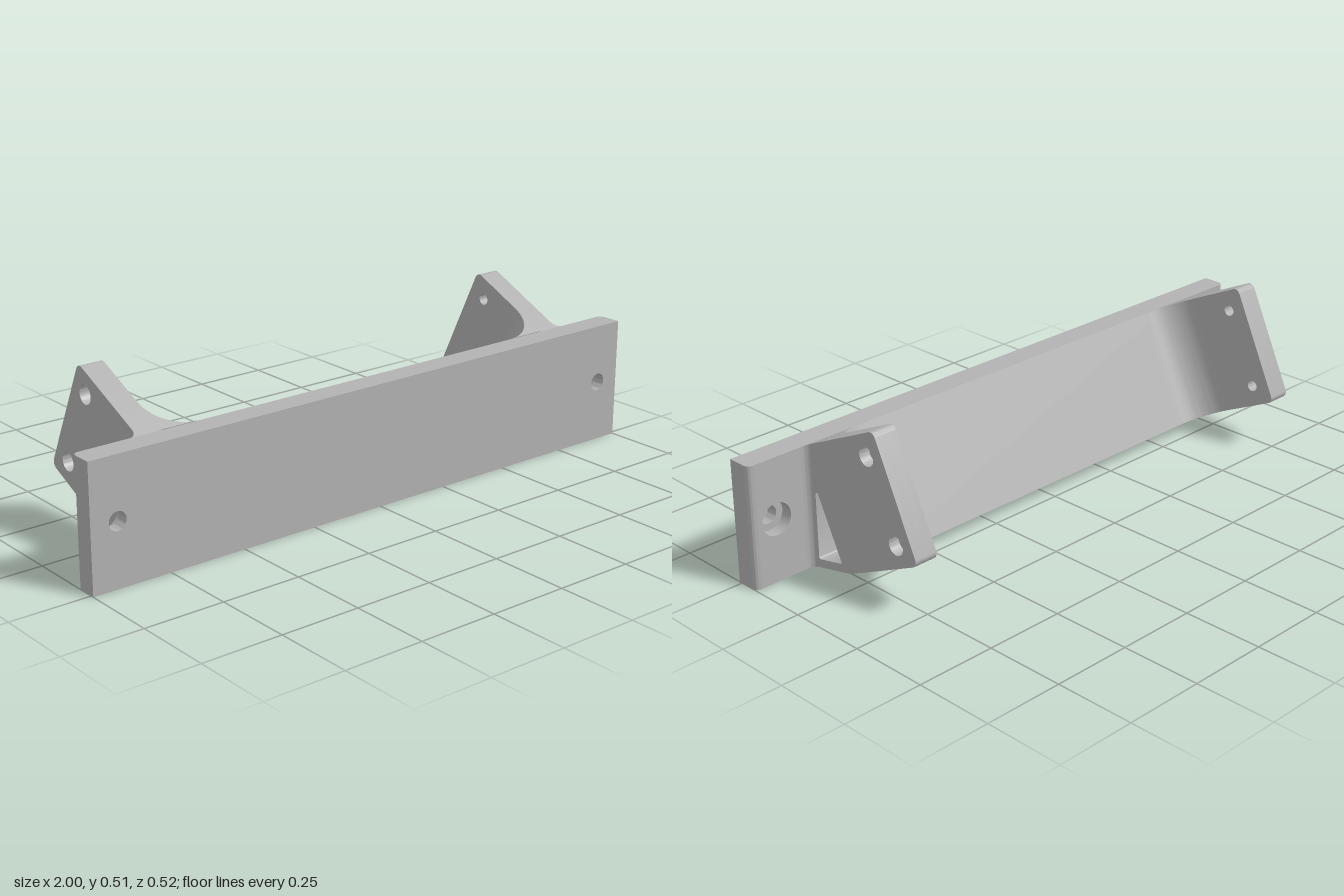
import * as THREE from 'three';
import { toCreasedNormals } from 'three/addons/utils/BufferGeometryUtils.js';

const H = 0.383;            // plate height
const FRONT = 0.26, BACK = 0.183; // plate faces in z
const TILT = 25 * Math.PI / 180;
const S = Math.sin(TILT), C = Math.cos(TILT);
const INNER = 0.72, OUTER = 0.795; // ear faces in x
const FOOT = [0.02, 0.037]; // lower end of the tilted face (z, y)

// Closed path through [x, y, radius] corners, rounded with true arcs
function roundedPath(pts, PathType = THREE.Shape) {
  const path = new PathType();
  const n = pts.length;
  pts.forEach(([x, y, r = 0], i) => {
    const p = new THREE.Vector2(x, y);
    const a = new THREE.Vector2(...pts[(i + n - 1) % n].slice(0, 2)).sub(p).normalize();
    const b = new THREE.Vector2(...pts[(i + 1) % n].slice(0, 2)).sub(p).normalize();
    if (!r) {
      if (i === 0) path.moveTo(x, y); else path.lineTo(x, y);
      return;
    }
    const half = Math.acos(a.dot(b)) / 2;
    const c = a.clone().add(b).normalize().multiplyScalar(r / Math.sin(half)).add(p);
    const s = a.clone().multiplyScalar(r / Math.tan(half)).add(p).sub(c);
    const e = b.clone().multiplyScalar(r / Math.tan(half)).add(p).sub(c);
    path.absarc(c.x, c.y, r, s.angle(), e.angle(), a.cross(b) > 0);
  });
  path.closePath();
  return path;
}

function circle(x, y, r) {
  const p = new THREE.Path();
  p.absarc(x, y, r, 0, Math.PI * 2, true);
  return p;
}

const extrude = (shape, depth) =>
  new THREE.ExtrudeGeometry(shape, { depth, bevelEnabled: false, curveSegments: 16 });

// Side profiles are drawn as (-z, y) and extruded along x
const side = pts => pts.map(([z, y, r]) => [-z, y, r]);
const extrudeX = (shape, x0, x1) =>
  extrude(shape, x1 - x0).rotateY(Math.PI / 2).translate(x0, 0, 0);

export function createModel() {
  const group = new THREE.Group();
  const grey = new THREE.MeshStandardMaterial({ color: 0xb2b2b2 });
  grey.name = 'grey';
  const add = (name, geo) => {
    const mesh = new THREE.Mesh(toCreasedNormals(geo, 0.5), grey);
    mesh.name = name;
    group.add(mesh);
  };

  // Front plate in two layers: narrow bolt holes, wider counterbores behind
  const END = 0.98, STEP = 0.222;
  const plateLayer = (name, r, z0, z1) => {
    const shape = roundedPath([[-END, 0], [END, 0], [END, H], [-END, H]]);
    for (const s of [-1, 1]) shape.holes.push(circle(s * 0.915, 0.195, r));
    add(name, extrude(shape, z1 - z0).translate(0, 0, z0));
  };
  plateLayer('plateFront', 0.028, STEP, FRONT);
  plateLayer('plateBack', 0.05, BACK, STEP);

  // Triangular tunnel running through the whole bracket
  const tunnel = () => roundedPath(
    side([[0.158, 0.265, 0.006], [0.158, 0.032, 0.006], [0.055, 0.055, 0.006]]), THREE.Path);

  // Wedge that carries the tilted back face
  const wedge = roundedPath(side([[BACK, 0], FOOT, [BACK, H]]));
  wedge.holes.push(tunnel());
  add('tiltedWedge', extrudeX(wedge, -INNER, INNER));

  // Ear outline with bolt holes of a given radius
  const earShape = r => {
    const shape = roundedPath(side([
      [BACK, 0], FOOT, [-0.267, 0.171, 0.02], [-0.104, 0.517, 0.02], [BACK, H]]));
    shape.holes.push(tunnel(), circle(0.073, 0.432, r), circle(0.181, 0.202, r));
    return shape;
  };

  for (const s of [-1, 1]) {
    const label = s > 0 ? 'left' : 'right';

    // Rounded end strip of the plate
    const strip = roundedPath([
      [s * END, -FRONT], [s, -FRONT], [s, -BACK, 0.0199], [s * END, -BACK]]);
    add(label + 'PlateEnd', extrude(strip, H).rotateX(-Math.PI / 2));

    // Ear: inner layer with bolt holes, outer layer with counterbores
    const mid = 0.76;
    const layer = (name, r, a, b) =>
      add(label + name, extrudeX(earShape(r), Math.min(s * a, s * b), Math.max(s * a, s * b)));
    layer('EarInner', 0.018, INNER, mid);
    layer('EarOuter', 0.029, mid, OUTER);

    // Large fillet between the tilted face and the ear
    const R = 0.12;
    const big = new THREE.Shape();
    big.moveTo(s * INNER, 0);
    for (let i = 0; i <= 20; i++) {
      const t = i / 20 * Math.PI / 2;
      big.lineTo(s * (INNER - R + R * Math.cos(t)), R - R * Math.sin(t));
    }
    const length = Math.hypot(BACK - FOOT[0], H - FOOT[1]);
    const frame = new THREE.Matrix4().makeBasis(
      new THREE.Vector3(1, 0, 0), new THREE.Vector3(0, S, -C), new THREE.Vector3(0, C, S));
    frame.setPosition(0, FOOT[1], FOOT[0]);
    add(label + 'InnerFillet', extrude(big, length).applyMatrix4(frame));

    // Small fillet between plate and ear, trimmed to the ear's sloping edges
    const r = 0.024;
    const small = new THREE.Shape();
    small.moveTo(s * OUTER, -BACK);
    for (let i = 0; i <= 10; i++) {
      const t = i / 10 * Math.PI / 2;
      small.lineTo(s * (OUTER + r - r * Math.sin(t)), -BACK + r - r * Math.cos(t));
    }
    const geo = extrude(small, 1).rotateX(-Math.PI / 2);
    const pos = geo.attributes.position;
    for (let i = 0; i < pos.count; i++) {
      const d = BACK - pos.getZ(i);
      const low = d * FOOT[1] / (BACK - FOOT[0]), high = H + d * Math.tan(TILT);
      pos.setY(i, low + (high - low) * pos.getY(i));
    }
    geo.computeVertexNormals();
    add(label + 'OuterFillet', geo);
  }
  return group;
}
